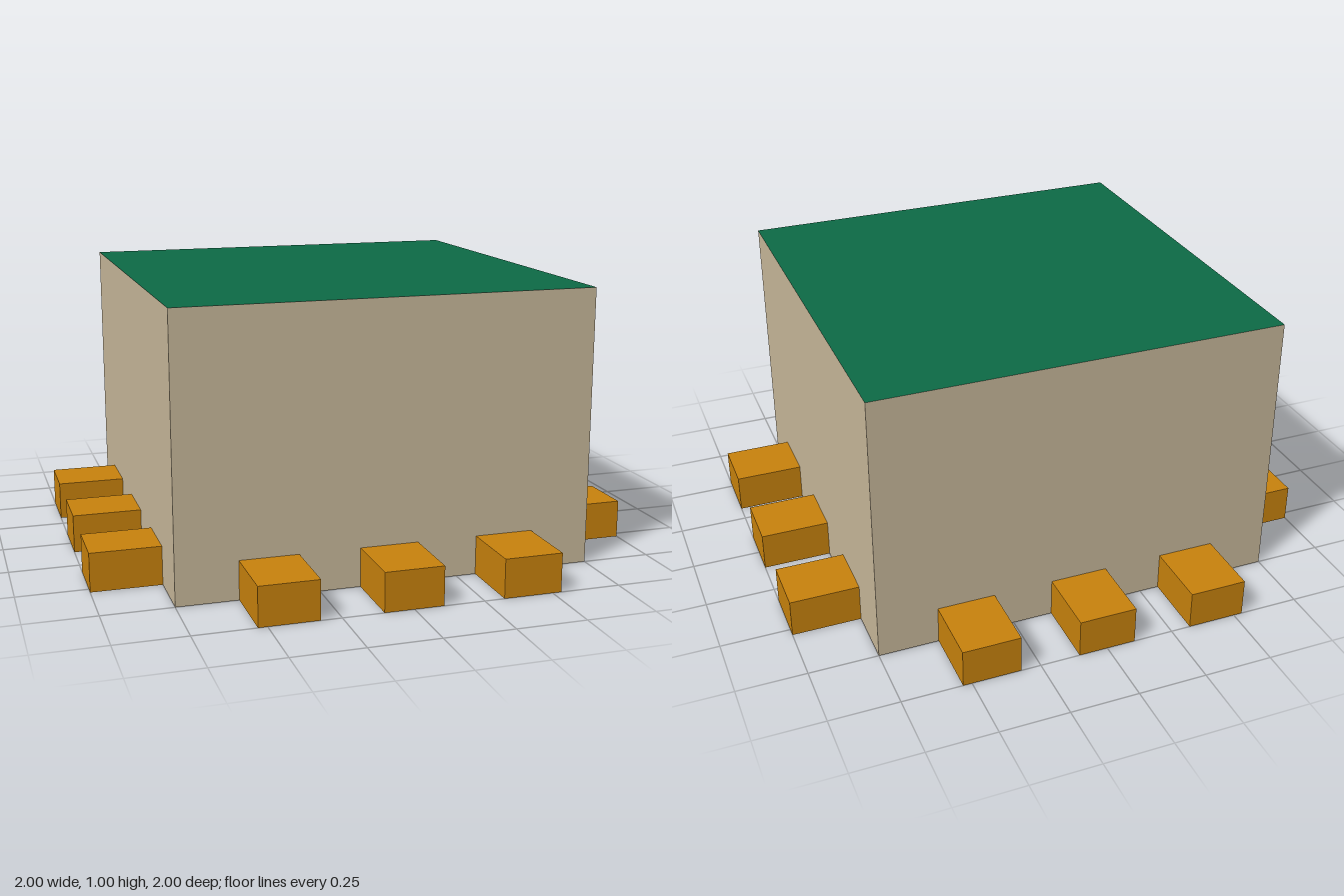
import * as THREE from 'three';

const material = (name, color) => {
  const m = new THREE.MeshStandardMaterial({ color });
  m.name = name;
  return m;
};

export function createModel() {
  const wall = material('tan wall', 0xc8b89a);
  const green = material('green top', 0x0d6b46);
  const brown = material('brown underside', 0xae7f58);
  const amber = material('amber block', 0xc8820d);

  const model = new THREE.Group();
  model.name = 'blockWithFeet';

  // Main body: tan sides, green top, brown underside (+x, -x, +y, -y, +z, -z)
  const body = new THREE.Mesh(
    new THREE.BoxGeometry(1.5, 1, 1.5),
    [wall, wall, green, brown, wall, wall]
  );
  body.name = 'body';
  body.position.y = 0.5;
  model.add(body);

  // Three low blocks against the foot of each of the four sides
  const blockGeometry = new THREE.BoxGeometry(0.21, 0.14, 0.25);
  ['front', 'left', 'back', 'right'].forEach((side, i) => {
    const row = new THREE.Group();
    row.name = side + 'Blocks';
    row.rotation.y = i * Math.PI / 2;
    for (const x of [-0.427, 0, 0.427]) {
      const block = new THREE.Mesh(blockGeometry, amber);
      block.name = side + 'Block';
      block.position.set(x, 0.07, 0.875);
      row.add(block);
    }
    model.add(row);
  });

  return model;
}
